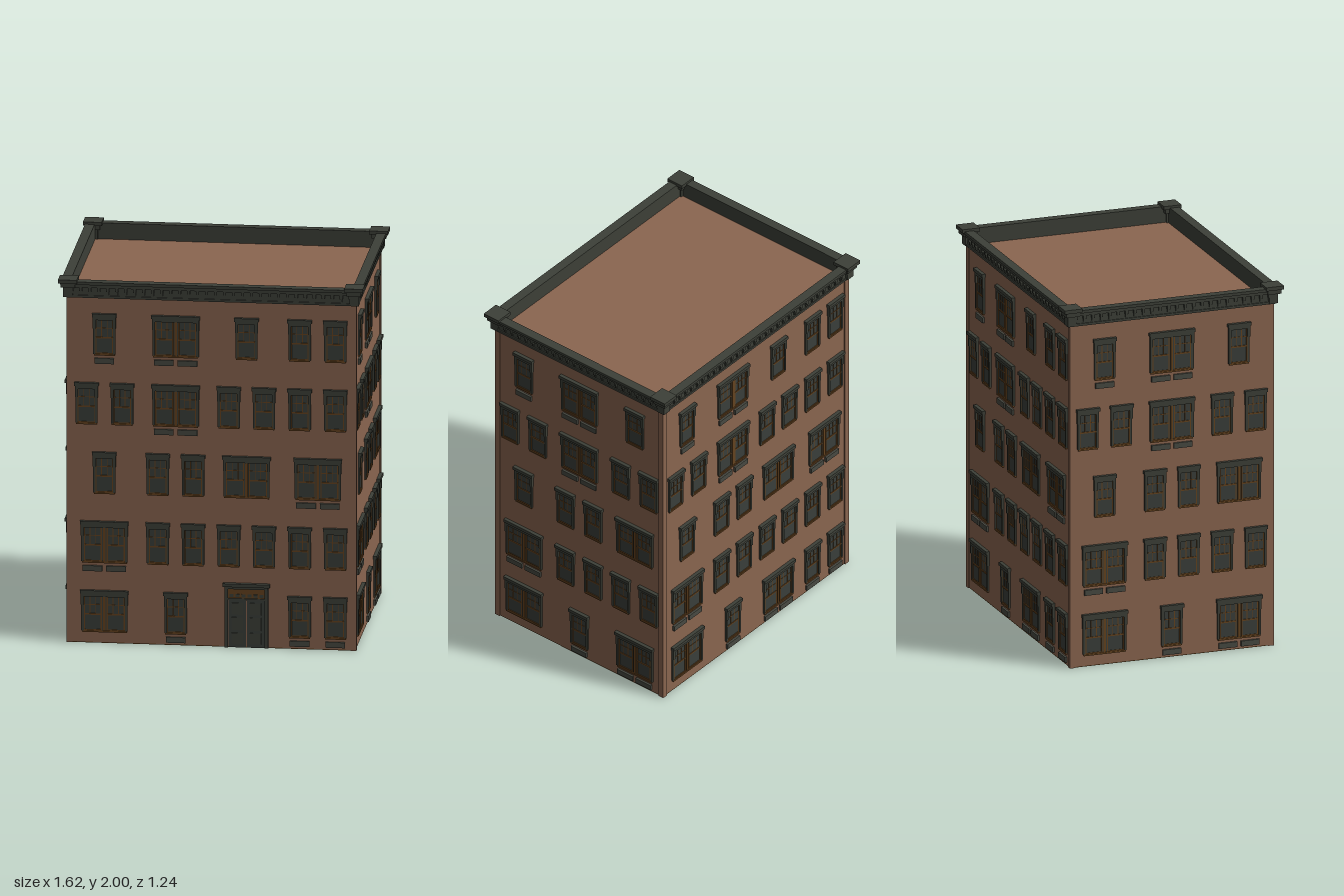
import * as THREE from 'three';
import { mergeGeometries } from 'three/addons/utils/BufferGeometryUtils.js';

const material = (name, color) => Object.assign(new THREE.MeshStandardMaterial({ color }), { name });
const wallBrown = material('wall brown', 0x8b6650);
const trimDark = material('dark trim', 0x3d4038);
const glassDark = material('dark glass', 0x3a3f3b);
const woodBrown = material('wood brown', 0x65431f);
const plateGrey = material('plate grey', 0x484a42);

const W = 0.765, D = 0.57, TOP = 1.9; // half width, half depth, wall height
const ROWS = [1.58, 1.2, 0.82, 0.44, 0.06]; // window bottoms, top floor first

// Box from x/y limits, standing from z0 to z1 in front of the wall
function slab(x0, x1, y0, y1, z1, z0 = 0) {
  return new THREE.BoxGeometry(x1 - x0, y1 - y0, z1 - z0)
    .translate((x0 + x1) / 2, (y0 + y1) / 2, (z0 + z1) / 2);
}

function mesh(name, parts, mat) {
  const m = new THREE.Mesh(Array.isArray(parts) ? mergeGeometries(parts) : parts, mat);
  m.name = name;
  return m;
}

// Window with one or two sash pairs; origin at bottom centre on the wall
function makeWindow(count) {
  const half = count === 1 ? 0.057 : 0.121;
  const trim = [
    slab(-half - 0.008, half + 0.008, 0.212, 0.23, 0.02),
    slab(-half - 0.004, half + 0.004, 0.195, 0.212, 0.014),
  ];
  for (const s of [-1, 1]) {
    const x = s * (half - 0.004);
    trim.push(slab(x - 0.006, x + 0.006, 0.008, 0.195, 0.01));
    trim.push(slab(x - 0.008, x + 0.008, 0.15, 0.195, 0.014)); // bracket
  }
  const wood = [slab(-half + 0.002, half - 0.002, 0, 0.009, 0.01)];
  const glass = [slab(-half + 0.004, half - 0.004, 0.004, 0.2, 0.003)];
  if (count === 2) wood.push(slab(-0.007, 0.007, 0.008, 0.195, 0.008));
  for (let i = 0; i < count; i++) {
    const c = count === 1 ? 0 : (i - 0.5) * 0.122;
    const h = 0.047;
    wood.push(slab(c - h, c + h, 0.094, 0.102, 0.007)); // meeting rail
    wood.push(slab(c - h, c + h, 0.009, 0.015, 0.006));
    for (const s of [-1, 1]) {
      const x = c + s * (h - 0.002);
      wood.push(slab(x - 0.003, x + 0.003, 0.009, 0.195, 0.006));
      wood.push(slab(c + s * 0.015 - 0.002, c + s * 0.015 + 0.002, 0.102, 0.195, 0.005));
    }
    wood.push(slab(c - h, c + h, 0.148, 0.152, 0.005));
  }
  const g = new THREE.Group();
  g.name = count === 1 ? 'singleWindow' : 'doubleWindow';
  g.add(mesh('windowTrim', trim, trimDark), mesh('windowSash', wood, woodBrown), mesh('windowGlass', glass, glassDark));
  return g;
}

// Double entrance door with panels, transom and hood
function makeDoor() {
  const trim = [
    slab(-0.125, 0.125, 0.335, 0.353, 0.026),
    slab(-0.116, 0.116, 0.322, 0.335, 0.018),
    slab(-0.1, 0.1, 0.262, 0.27, 0.012),
  ];
  const leaves = [];
  const wood = [slab(-0.1, 0.1, 0.27, 0.322, 0.004)];
  for (const s of [-1, 1]) {
    trim.push(slab(s * 0.107 - 0.009, s * 0.107 + 0.009, 0, 0.322, 0.014));
    leaves.push(slab(s * 0.049 - 0.047, s * 0.049 + 0.047, 0, 0.262, 0.005));
    for (const [y0, y1] of [[0.02, 0.08], [0.095, 0.165], [0.18, 0.245]])
      trim.push(slab(s * 0.049 - 0.03, s * 0.049 + 0.03, y0, y1, 0.009));
  }
  for (let i = 0; i < 6; i++) { // transom lights
    const x = (i - 2.5) * 0.032;
    trim.push(slab(x - 0.011, x + 0.011, 0.276, 0.292, 0.007));
  }
  const g = new THREE.Group();
  g.name = 'entranceDoor';
  g.add(mesh('doorTrim', trim, trimDark), mesh('doorLeaves', leaves, glassDark), mesh('doorTransom', wood, woodBrown));
  return g;
}

// Rows of openings, each [x, type]: s single, d double, capitals have plates beneath, E entrance
const LONG = [
  [[-0.57, 'S'], [-0.19, 'D'], [0.187, 's'], [0.47, 's'], [0.66, 's']],
  [[-0.665, 's'], [-0.475, 's'], [-0.19, 'D'], [0.093, 's'], [0.28, 's'], [0.47, 's'], [0.66, 's']],
  [[-0.57, 's'], [-0.285, 's'], [-0.097, 's'], [0.187, 'd'], [0.567, 'D']],
  [[-0.57, 'D'], [-0.285, 's'], [-0.097, 's'], [0.093, 's'], [0.28, 's'], [0.47, 's'], [0.66, 's']],
  [[-0.57, 'd'], [-0.19, 'S'], [0.187, 'D'], [0.47, 'S'], [0.66, 'S']],
];
const SHORT = [
  [[-0.38, 'S'], [0, 'D'], [0.38, 's']],
  [[-0.475, 's'], [-0.285, 's'], [0, 'D'], [0.285, 's'], [0.475, 's']],
  [[-0.38, 's'], [-0.095, 's'], [0.095, 's'], [0.38, 'd']],
  [[-0.38, 'D'], [-0.095, 's'], [0.095, 's'], [0.285, 's'], [0.475, 's']],
  [[-0.38, 'd'], [0, 'S'], [0.38, 'D']],
];

function makeFacade(name, layout, hasDoor, single, double) {
  const g = new THREE.Group();
  g.name = name;
  const plates = [];
  layout.forEach((row, r) => row.forEach(([x, type]) => {
    if (hasDoor && r === 4 && x === 0.187) {
      const door = makeDoor();
      door.position.x = x;
      g.add(door);
      return;
    }
    const isDouble = type.toLowerCase() === 'd';
    const w = (isDouble ? double : single).clone();
    w.position.set(x, ROWS[r], 0);
    g.add(w);
    if (type === type.toLowerCase()) return;
    for (const c of isDouble ? [x - 0.063, x + 0.063] : [x])
      plates.push(slab(c - 0.052, c + 0.052, ROWS[r] - 0.045, ROWS[r] - 0.015, 0.012));
  }));
  g.add(mesh('underWindowPlates', plates, plateGrey));
  return g;
}

// One cornice side in local space; half is the wall's half length
function makeCornice(half) {
  const parts = [
    slab(-half - 0.012, half + 0.012, 1.897, 1.96, 0.012, -0.015),
    slab(-half - 0.018, half + 0.018, 1.897, 1.91, 0.018),
    slab(-half - 0.028, half + 0.028, 1.955, 1.972, 0.028, -0.015),
    slab(-half - 0.036, half + 0.036, 1.972, 1.988, 0.036, -0.015),
  ];
  const n = Math.round(half * 2 / 0.048);
  for (let i = 0; i < n; i++) { // brackets
    const x = -half + (i + 0.5) * (2 * half / n);
    parts.push(slab(x - 0.008, x + 0.008, 1.935, 1.956, 0.025));
    parts.push(slab(x - 0.005, x + 0.005, 1.918, 1.935, 0.018));
  }
  return mesh('cornice', parts, trimDark);
}

export function createModel() {
  const model = new THREE.Group();
  model.name = 'apartmentBuilding';
  model.add(mesh('walls', slab(-W, W, 0.004, TOP, D, -D), wallBrown));
  model.add(mesh('baseFloor', slab(-W, W, 0, 0.004, D, -D), woodBrown));

  // Corner posts and cornice corner blocks
  for (const sx of [-1, 1]) for (const sz of [-1, 1]) {
    const post = mesh('cornerPost', new THREE.BoxGeometry(0.032, TOP, 0.032), wallBrown);
    post.position.set(sx * (W - 0.009), TOP / 2, sz * (D - 0.009));
    const block = mesh('corniceCorner', [
      slab(-0.05, 0.05, 1.98, 2, 0.05, -0.05),
      slab(-0.038, 0.038, 1.955, 1.98, 0.038, -0.038),
      slab(-0.025, 0.025, 1.9, 1.955, 0.025, -0.025),
    ], trimDark);
    block.position.set(sx * 0.762, 0, sz * 0.57);
    model.add(post, block);
  }

  // Four dressed facades, turned around the building
  const single = makeWindow(1), double = makeWindow(2);
  ['front', 'right', 'back', 'left'].forEach((side, i) => {
    const long = i % 2 === 0;
    const facade = makeFacade(side + 'Facade', long ? LONG : SHORT, i === 0, single, double);
    facade.add(makeCornice(long ? W : D));
    const angle = i * Math.PI / 2, dist = long ? D : W;
    facade.rotation.y = angle;
    facade.position.set(Math.sin(angle) * dist, 0, Math.cos(angle) * dist);
    model.add(facade);
  });
  return model;
}
